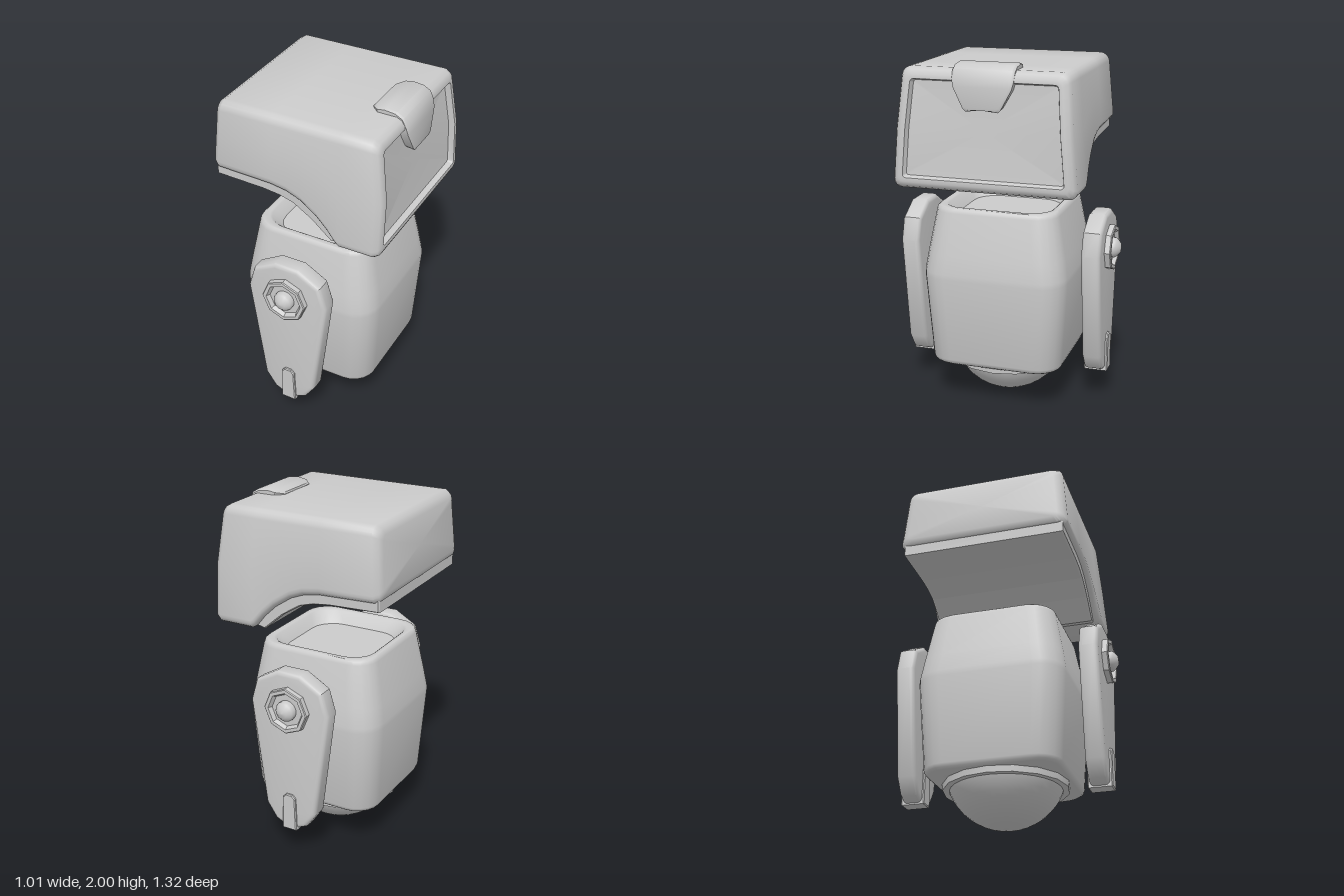
import * as THREE from 'three';
import { toCreasedNormals } from 'three/addons/utils/BufferGeometryUtils.js';

const grey = new THREE.MeshStandardMaterial({ color: 0xcccccc });
const CX = -0.012; // axis of body and arms

function part(name, geometry, parent, material = grey) {
  const mesh = new THREE.Mesh(geometry, material);
  mesh.name = name;
  parent.add(mesh);
  return mesh;
}

// Skin a list of equal-length rings and close both ends with fans
function loft(rings, crease = 0.7) {
  const n = rings[0].length, pos = rings.flat(2), index = [];
  for (let i = 0; i < rings.length - 1; i++) {
    for (let j = 0; j < n; j++) {
      const a = i * n + j, b = i * n + (j + 1) % n;
      index.push(a, a + n, b, b, a + n, b + n);
    }
  }
  const cap = (k, flip) => {
    const c = pos.length / 3;
    for (let d = 0; d < 3; d++) pos.push(rings[k].reduce((s, p) => s + p[d], 0) / n);
    for (let j = 0; j < n; j++) {
      const a = k * n + j, b = k * n + (j + 1) % n;
      index.push(c, flip ? b : a, flip ? a : b);
    }
  };
  cap(0, false);
  cap(rings.length - 1, true);
  const g = new THREE.BufferGeometry();
  g.setAttribute('position', new THREE.Float32BufferAttribute(pos, 3));
  g.setIndex(index);
  return toCreasedNormals(g.toNonIndexed(), crease);
}

// Piecewise linear lookup in [[x, y], ...]
function lookup(table, x) {
  for (let i = 1; i < table.length; i++) {
    const [x0, y0] = table[i - 1], [x1, y1] = table[i];
    if (x <= x1) return y0 + (y1 - y0) * Math.max(0, (x - x0) / (x1 - x0));
  }
  return table[table.length - 1][1];
}

const underside = [[-0.51, 1.57], [-0.15, 1.56], [-0.05, 1.545], [0.03, 1.515],
  [0.13, 1.45], [0.2, 1.385], [0.25, 1.325], [0.27, 1.31]];

// Head cross-section: t runs back to front, dx shifts it, d insets it
function headRing(t, dx, d) {
  const r = Math.max(0.015, 0.05 - d * 0.5), top = 1.97 - d;
  const bottom = lookup(underside, -0.51 + 1.015 * t) + d;
  const point = (y, side, inset) => {
    const back = -0.51 + (y - 1.57) * 0.07;
    const front = 0.505 - Math.max(0, y - 1.64) * 0.13;
    const half = 0.52 - (y - 1.32) * 0.085 - d - inset;
    return [back + (front - back) * t + dx, y, side * half];
  };
  const right = [];
  for (let i = 0; i <= 4; i++) {
    const a = i * Math.PI / 8;
    right.push(point(top - r + r * Math.cos(a), -1, r * (1 - Math.sin(a))));
  }
  right.push(point((top + bottom) / 2, -1, 0));
  for (let i = 0; i <= 4; i++) {
    const a = i * Math.PI / 8;
    right.push(point(bottom + r - r * Math.sin(a), -1, r * (1 - Math.cos(a))));
  }
  return [...right, ...right.map(([x, y, z]) => [x, y, -z]).reverse()];
}

function buildHead(root) {
  const head = new THREE.Group();
  head.name = 'head';
  root.add(head);

  // Shell with rounded ends, a front rim and a recessed face
  const rings = [[0, 0, 0.05], [0, 0.012, 0.018], [0, 0.04, 0]];
  for (const [x] of underside.slice(1)) rings.push([(x + 0.51) / 1.015, 0, 0]);
  rings.push([1, -0.04, 0], [1, -0.012, 0.015], [1, 0, 0.04],
    [1, -0.002, 0.062], [1, -0.035, 0.072], [1, -0.037, 0.085]);
  part('headShell', loft(rings.map((r) => headRing(...r))), head);

  // Lip that follows the curved underside
  const lip = new THREE.Shape([[-0.485, 1.53], [-0.2, 1.52], [-0.1, 1.508], [-0.02, 1.485], [0.09, 1.415],
    [0.205, 1.315], [0.25, 1.325], [0.3, 1.36], [0.2, 1.46], [0.05, 1.56], [-0.15, 1.6], [-0.485, 1.6]]
    .map(([x, y]) => new THREE.Vector2(x, y)));
  const lipGeo = new THREE.ExtrudeGeometry(lip, { depth: 0.92, bevelSize: 0.006, bevelThickness: 0.01, bevelSegments: 1 });
  part('undersideLip', lipGeo.translate(0, 0, -0.46), head);

  // Clip folded over the top front edge: x, y, half width, and inner x, y
  const clip = [[0.275, 1.982, 0.13, 0.28, 1.95], [0.315, 1.993, 0.17, 0.315, 1.95],
    [0.36, 2, 0.172, 0.36, 1.95], [0.42, 1.993, 0.172, 0.41, 1.95], [0.46, 1.97, 0.172, 0.43, 1.93],
    [0.483, 1.92, 0.17, 0.44, 1.91], [0.49, 1.88, 0.16, 0.44, 1.87], [0.5, 1.775, 0.105, 0.44, 1.775],
    [0.498, 1.76, 0.09, 0.44, 1.76]];
  part('brow Clip'.replace(' ', ''), loft(clip.map(([x, y, w, ix, iy]) =>
    [[ix, iy, w], [x - 0.006, y - 0.008, w], [x, y, w - 0.012], [x, y, -w + 0.012], [x - 0.006, y - 0.008, -w], [ix, iy, -w]])), head);
}

// Rounded square ring at height y
function bodyRing(y, half, r) {
  const ring = [];
  for (let q = 0; q < 4; q++) {
    for (let i = 0; i <= 5; i++) {
      const a = (q + i / 5) * Math.PI / 2;
      const sx = q === 0 || q === 3 ? 1 : -1, sz = q < 2 ? 1 : -1;
      ring.push([CX + sx * (half - r) + r * Math.cos(a), y, sz * (half - r) + r * Math.sin(a)]);
    }
  }
  return ring;
}

function buildBody(root) {
  // Shell with an open, shallow dish on top
  const rings = [[0.245, 0.365, 0.13], [0.255, 0.378, 0.135], [0.275, 0.385, 0.14], [0.77, 0.418, 0.15],
    [0.8, 0.417, 0.15], [0.9, 0.402, 0.15], [1.145, 0.357, 0.13], [1.163, 0.352, 0.13], [1.172, 0.342, 0.13],
    [1.172, 0.315, 0.13], [1.165, 0.305, 0.13], [1.1, 0.265, 0.14]];
  part('body', loft(rings.map((r) => bodyRing(...r))), root);

  const collar = new THREE.CylinderGeometry(0.355, 0.352, 0.045, 16);
  part('collar', toCreasedNormals(collar.toNonIndexed(), 0.6).translate(CX, 0.2325, 0), root);

  const dome = new THREE.SphereGeometry(0.341, 32, 12, 0, Math.PI * 2, Math.PI - 1.23, 1.23);
  part('baseDome', dome.translate(CX, 0.341, 0), root);
}

function buildArm(name) {
  const arm = new THREE.Group();
  arm.name = name;

  // Paddle plate with rounded edges
  const b = 0.025;
  const half = [[0.05, 0.18], [0.105, 0.205], [0.162, 0.29], [0.248, 0.94], [0.212, 1.06], [0.085, 1.133]];
  const inner = half.map(([x, y]) => [x * 0.94 - b * 0.6, 0.66 + (y - 0.66) * (1 - b / 0.477)]);
  const outline = [...inner, ...inner.map(([x, y]) => [-x, y]).reverse()];
  const plate = new THREE.ExtrudeGeometry(new THREE.Shape(outline.map(([x, y]) => new THREE.Vector2(x, y))),
    { depth: 0.11 - 2 * b, bevelSize: b, bevelThickness: b, bevelSegments: 4 });
  part('armPlate', toCreasedNormals(plate, 0.6).translate(0, 0, 0.48 + b), arm);

  // Tapered tab wrapped round the lower end
  const tab = new THREE.Shape([[-0.04, 0.18], [0.04, 0.18], [0.034, 0.375], [0.018, 0.393], [-0.018, 0.393], [-0.034, 0.375]]
    .map(([x, y]) => new THREE.Vector2(x, y)));
  const tabGeo = new THREE.ExtrudeGeometry(tab, { depth: 0.126, bevelSize: 0.005, bevelThickness: 0.006, bevelSegments: 1 });
  part('armTab', tabGeo.translate(0, 0, 0.473), arm);

  // Octagonal hub with a sunken centre and a domed bolt
  const turn = (pts, sides) => new THREE.LatheGeometry(pts.map(([x, y]) => new THREE.Vector2(x, y)), sides)
    .rotateX(Math.PI / 2).translate(0, 0.923, 0);
  const hub = turn([[0.133, 0.575], [0.133, 0.62], [0.128, 0.625], [0.108, 0.625], [0.095, 0.602], [0, 0.602]], 8);
  part('shoulderHub', toCreasedNormals(hub.toNonIndexed(), 0.5), arm);
  const bolt = turn([[0.058, 0.595], [0.058, 0.625], [0.05, 0.637], [0.028, 0.656], [0, 0.66]], 16);
  part('shoulderBolt', bolt, arm);

  arm.position.x = CX;
  return arm;
}

export function createModel() {
  const root = new THREE.Group();
  root.name = 'robot';
  buildHead(root);
  buildBody(root);
  root.add(buildArm('leftArm'));
  const other = buildArm('rightArm');
  other.rotation.y = Math.PI;
  root.add(other);
  return root;
}
